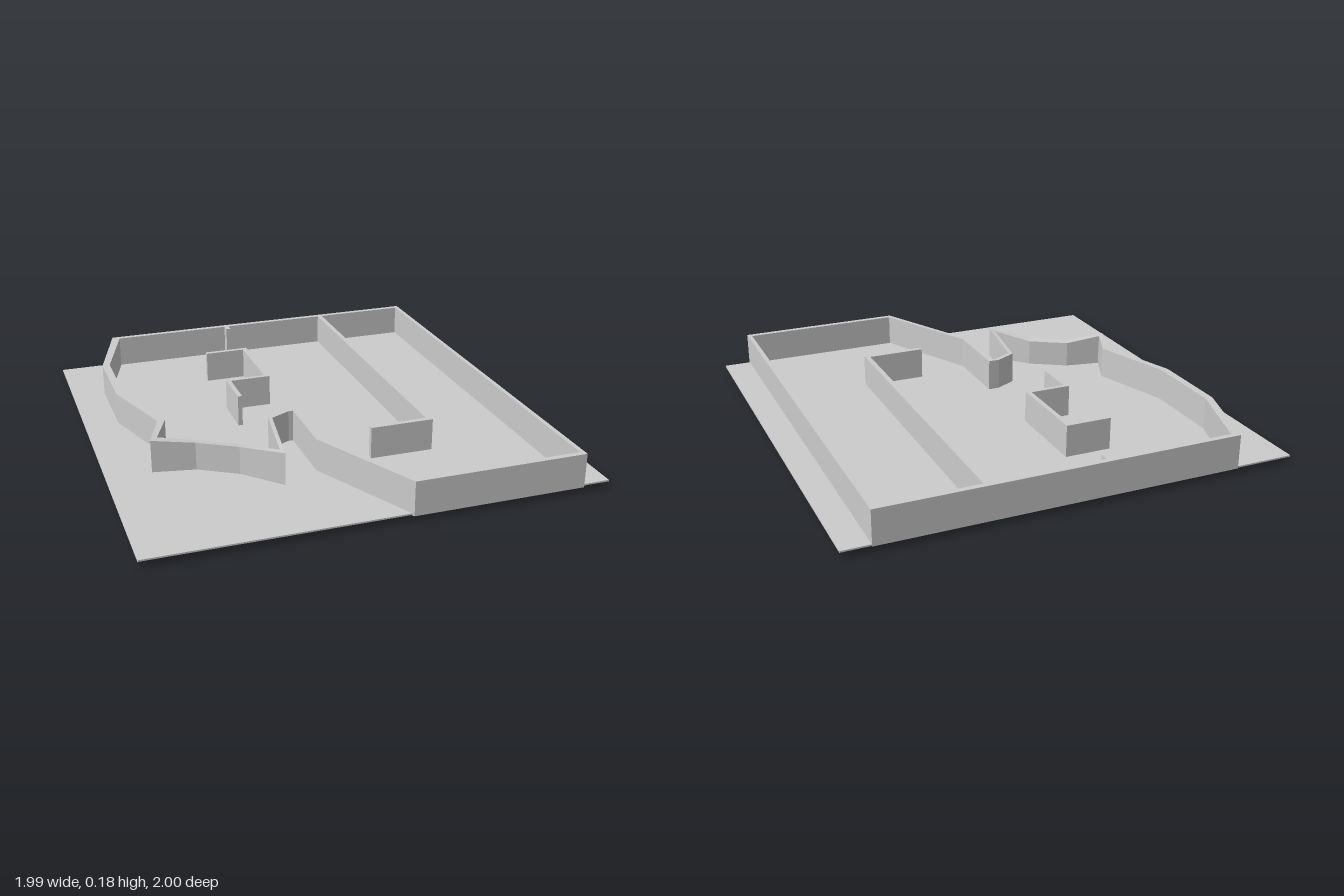
import * as THREE from 'three';

const FLOOR = [0.029, 0.036];
const WALL = [0.027, 0.181];
const material = new THREE.MeshStandardMaterial({ color: 0xcccccc, flatShading: true });

function addBox(parent, name, x0, x1, y0, y1, z0, z1) {
  const mesh = new THREE.Mesh(new THREE.BoxGeometry(x1 - x0, y1 - y0, z1 - z0), material);
  mesh.position.set((x0 + x1) / 2, (y0 + y1) / 2, (z0 + z1) / 2);
  mesh.name = name;
  parent.add(mesh);
}

// Closed wall ring; each section is [outerX, outerZ, innerX, innerZ, outer lift, inner lift]
function wallRing(sections) {
  const positions = [];
  const quad = (a, b, c, d) => positions.push(...a, ...b, ...c, ...a, ...c, ...d);
  const corners = sections.map(([ox, oz, ix, iz, ol = 0, il = 0]) => ({
    ob: [ox, WALL[0] + ol, oz], ot: [ox, WALL[1] + ol, oz],
    ib: [ix, WALL[0] + il, iz], it: [ix, WALL[1] + il, iz],
  }));
  corners.forEach((p, i) => {
    const q = corners[(i + 1) % corners.length];
    quad(p.ob, q.ob, q.ot, p.ot); // outside
    quad(q.ib, p.ib, p.it, q.it); // inside
    quad(p.ot, q.ot, q.it, p.it); // top
    quad(p.ib, q.ib, q.ob, p.ob); // underside
  });
  const geometry = new THREE.BufferGeometry();
  geometry.setAttribute('position', new THREE.Float32BufferAttribute(positions, 3));
  geometry.computeVertexNormals();
  return geometry;
}

export function createModel() {
  const model = new THREE.Group();
  model.name = 'walledFloorPlan';

  addBox(model, 'floor', -0.997, 0.994, ...FLOOR, -0.998, 0.99);

  // Perimeter wall, sagging along the front left stretch
  const perimeter = new THREE.Mesh(wallRing([
    [0.105, 1.0, 0.117, 0.975],
    [0.87, 1.0, 0.85, 0.975],
    [0.87, -1.0, 0.85, -0.975],
    [-0.73, -1.0, -0.697, -0.975],
    [-0.845, -0.62, -0.81, -0.62],
    [-0.845, -0.25, -0.81, -0.25],
    [-0.73, 0.11, -0.695, 0.11],
    [-0.80, 0.305, -0.765, 0.275, 0.002, 0],
    [-0.615, 0.34, -0.60, 0.305, -0.019, -0.024],
    [-0.45, 0.44, -0.437, 0.405, -0.019, -0.024],
    [-0.30, 0.60, -0.31, 0.555, 0.002, 0],
    [-0.245, 0.24, -0.26, 0.225],
    [-0.157, 0.195, -0.165, 0.175],
    [-0.135, 0.195, -0.113, 0.175],
    [-0.135, 0.51, -0.113, 0.508],
  ]), material);
  perimeter.name = 'perimeterWall';
  model.add(perimeter);

  // Inner walls as [name, x0, x1, z0, z1]
  const innerWalls = [
    ['dividerWall', 0.392, 0.415, -1.0, 0.48],
    ['dividerFoot', 0.127, 0.392, 0.456, 0.48],
    ['backStub', -0.135, -0.113, -0.985, -0.935],
    ['nookBack', -0.323, -0.135, -0.635, -0.613],
    ['nookSide', -0.135, -0.113, -0.635, -0.23],
    ['nookFront', -0.323, -0.135, -0.25, -0.23],
    ['nookReturn', -0.323, -0.303, -0.23, -0.038],
  ];
  for (const [name, x0, x1, z0, z1] of innerWalls) addBox(model, name, x0, x1, ...WALL, z0, z1);

  return model;
}
